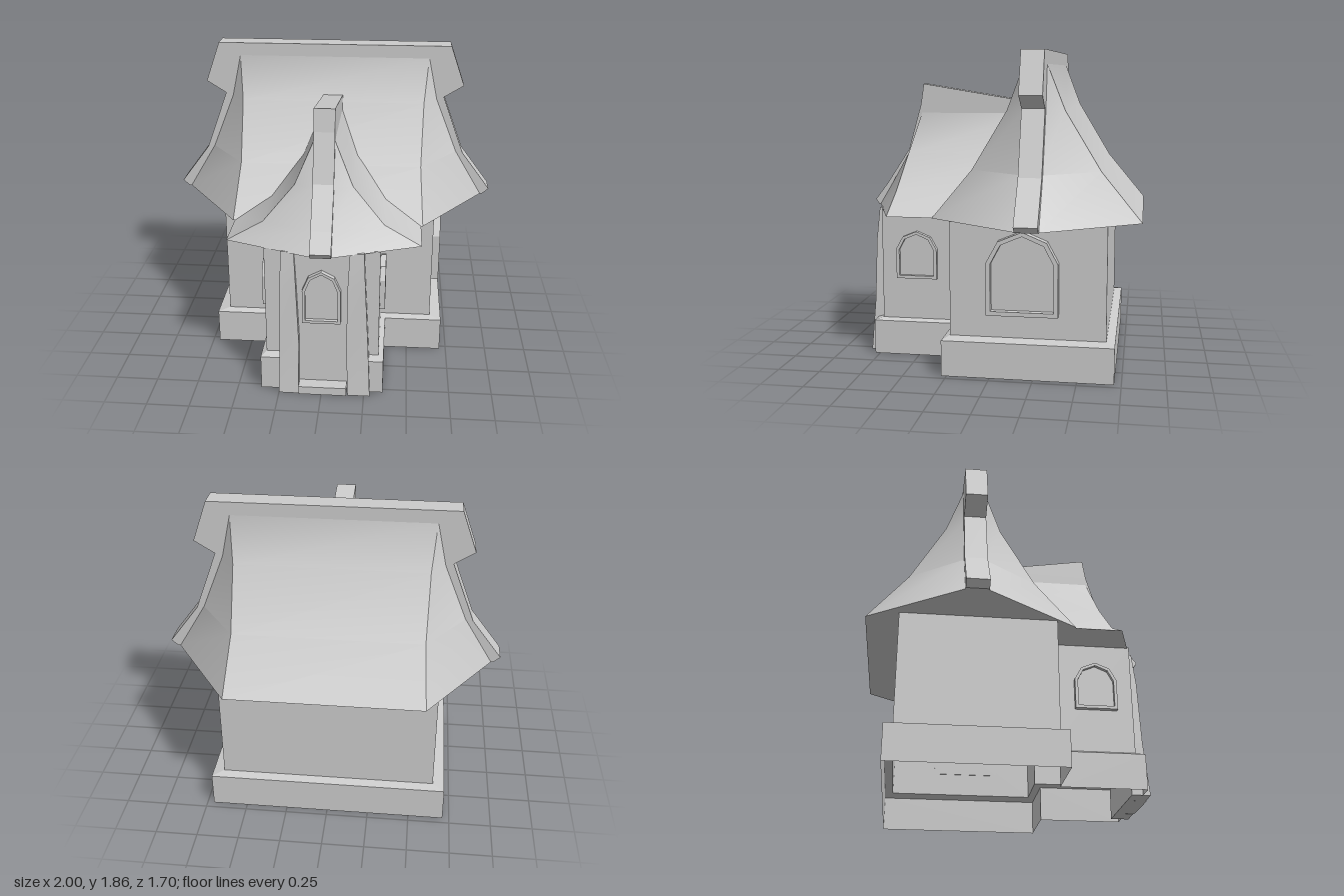
import * as THREE from 'three';
import { toCreasedNormals } from 'three/addons/utils/BufferGeometryUtils.js';

const material = new THREE.MeshStandardMaterial({ color: 0xcccccc, side: THREE.DoubleSide });

// Skin over horizontal rings; rings = [{ y, points: [[x, z], ...] }] from bottom to top
function loft(rings, capped, crease = 0.6) {
  const pos = [];
  const n = rings[0].points.length;
  const put = (r, i) => pos.push(r.points[i % n][0], r.y, r.points[i % n][1]);
  for (let k = 0; k < rings.length - 1; k++) {
    const a = rings[k], b = rings[k + 1];
    for (let i = 0; i < n; i++) {
      put(a, i); put(a, i + 1); put(b, i + 1);
      put(a, i); put(b, i + 1); put(b, i);
    }
  }
  if (capped) {
    const a = rings[0], b = rings[rings.length - 1];
    for (let i = 1; i < n - 1; i++) {
      put(a, 0); put(a, i + 1); put(a, i);
      put(b, 0); put(b, i); put(b, i + 1);
    }
  }
  const geo = new THREE.BufferGeometry();
  geo.setAttribute('position', new THREE.Float32BufferAttribute(pos, 3));
  return toCreasedNormals(geo, crease);
}

// Complete a ring from its +x half, listed front to back
const mirrored = (half) => [...half, ...half.map(([x, z]) => [-x, z]).reverse()];

function extrude(shape, depth) {
  return new THREE.ExtrudeGeometry(shape, { depth, bevelEnabled: false });
}

const shapeOf = (pts) => new THREE.Shape(pts.map(([x, y]) => new THREE.Vector2(x, y)));

// Pointed-arch outline standing on y = 0
function archPoints(w, h) {
  const r = w / 2;
  return [[-r, 0], [r, 0], [r, h * 0.63], [r * 0.68, h * 0.88], [0, h],
    [-r * 0.68, h * 0.88], [-r, h * 0.63]];
}

// Arched frame with a recessed pane, facing +z
function arch(name, w, h, border, depth) {
  const group = new THREE.Group();
  group.name = name;
  const outline = shapeOf(archPoints(w, h));
  const inner = archPoints(w - 2 * border, h - 2 * border).map(([x, y]) => [x, y + border]);
  outline.holes.push(new THREE.Path(inner.map(([x, y]) => new THREE.Vector2(x, y))));
  const frame = new THREE.Mesh(extrude(outline, depth), material);
  frame.name = name + 'Frame';
  const pane = new THREE.Mesh(extrude(shapeOf(inner), depth * 0.35), material);
  pane.name = name + 'Pane';
  group.add(frame, pane);
  return group;
}

export function createModel() {
  const house = new THREE.Group();
  house.name = 'cottage';
  const add = (name, geo) => {
    const mesh = new THREE.Mesh(geo, material);
    mesh.name = name;
    house.add(mesh);
    return mesh;
  };

  // Hollow walls on a stepped plinth, T-shaped plan with a notch for the door
  const plinth = mirrored([[0.15, 0.735], [0.15, 0.78], [0.36, 0.78], [0.36, 0.28], [0.71, 0.28], [0.71, -0.71]]);
  const wall = mirrored([[0.15, 0.728], [0.15, 0.73], [0.33, 0.73], [0.33, 0.24], [0.64, 0.24], [0.64, -0.66]]);
  add('walls', loft([
    { y: 0, points: plinth }, { y: 0.21, points: plinth },
    { y: 0.225, points: wall }, { y: 0.9, points: wall },
  ], false, 0.3));

  // Main roof: [y, corner x, half depth, gable x]
  const mid = -0.245;
  add('mainRoof', loft([
    [0.895, 0.57, 0.605, 0.95], [1.18, 0.55, 0.37, 0.78], [1.52, 0.56, 0.165, 0.645],
    [1.78, 0.585, 0.064, 0.59], [1.85, 0.585, 0.062, 0.59],
  ].map(([y, cx, hz, gx]) => ({
    y,
    points: mirrored([[cx, mid + hz], [gx, mid + 0.06], [gx, mid - 0.06], [cx, mid - hz]]),
  })), true));

  // Ridge beam with the curved gable rafters
  const side = [[0.718, 1.855], [0.805, 1.61], [0.685, 1.535], [0.82, 1.17], [1, 0.93], [0.96, 0.895]];
  const ridge = extrude(shapeOf([...side, ...side.map(([x, y]) => [-x, y]).reverse()]), 0.13);
  add('ridgeBeam', ridge.translate(0, 0, mid - 0.065));

  // Porch roof: [y, half width, corner z, front z, back z]
  add('porchRoof', loft([
    [0.895, 0.56, 0.635, 0.82, 0.3], [1.02, 0.345, 0.632, 0.745, 0.2],
    [1.235, 0.165, 0.6, 0.62, 0.05], [1.48, 0.06, 0.538, 0.542, -0.12],
  ].map(([y, hw, cz, fz, bz]) => ({
    y, points: mirrored([[0.058, fz], [hw, cz], [hw, bz]]),
  })), true));

  // Porch ridge beam sweeping down the front
  const porchBeam = extrude(shapeOf([
    [0.525, 1.66], [-0.15, 1.55], [-0.15, 1.4], [0.25, 0.895], [0.83, 0.895],
    [0.85, 0.925], [0.77, 1.03], [0.625, 1.25], [0.545, 1.53],
  ]), 0.12);
  add('porchBeam', porchBeam.rotateY(-Math.PI / 2).translate(0.06, 0, 0));

  // Crooked door posts: [y, left x, right x, front z]
  const posts = {
    rightPost: [[0, -0.25, -0.135, 0.825], [0.32, -0.243, -0.13, 0.8], [0.7, -0.235, -0.145, 0.79], [0.9, -0.23, -0.155, 0.77]],
    leftPost: [[0, 0.155, 0.285, 0.825], [0.32, 0.145, 0.27, 0.8], [0.7, 0.15, 0.25, 0.79], [0.9, 0.16, 0.24, 0.77]],
  };
  for (const [name, rows] of Object.entries(posts)) {
    add(name, loft(rows.map(([y, x0, x1, z]) => ({
      y, points: [[x0, z], [x1, z], [x1, 0.715], [x0, 0.715]],
    })), true));
  }

  // Door, its window and the step
  add('door', new THREE.BoxGeometry(0.32, 0.9, 0.04)).position.set(0, 0.45, 0.735);
  add('step', new THREE.BoxGeometry(0.28, 0.05, 0.1)).position.set(0.007, 0.025, 0.782);
  const doorWindow = arch('doorWindow', 0.22, 0.33, 0.017, 0.035);
  doorWindow.position.set(0, 0.455, 0.75);
  house.add(doorWindow);

  // Porch windows on both sides, large window on one side only
  for (const s of [1, -1]) {
    const w = arch(s > 0 ? 'leftPorchWindow' : 'rightPorchWindow', 0.25, 0.292, 0.018, 0.035);
    w.rotation.y = s * Math.PI / 2;
    w.position.set(s * 0.325, 0.482, 0.51);
    house.add(w);
  }
  const large = arch('largeWindow', 0.41, 0.485, 0.025, 0.06);
  large.rotation.y = Math.PI / 2;
  large.position.set(0.635, 0.365, -0.185);
  house.add(large);

  return house;
}
